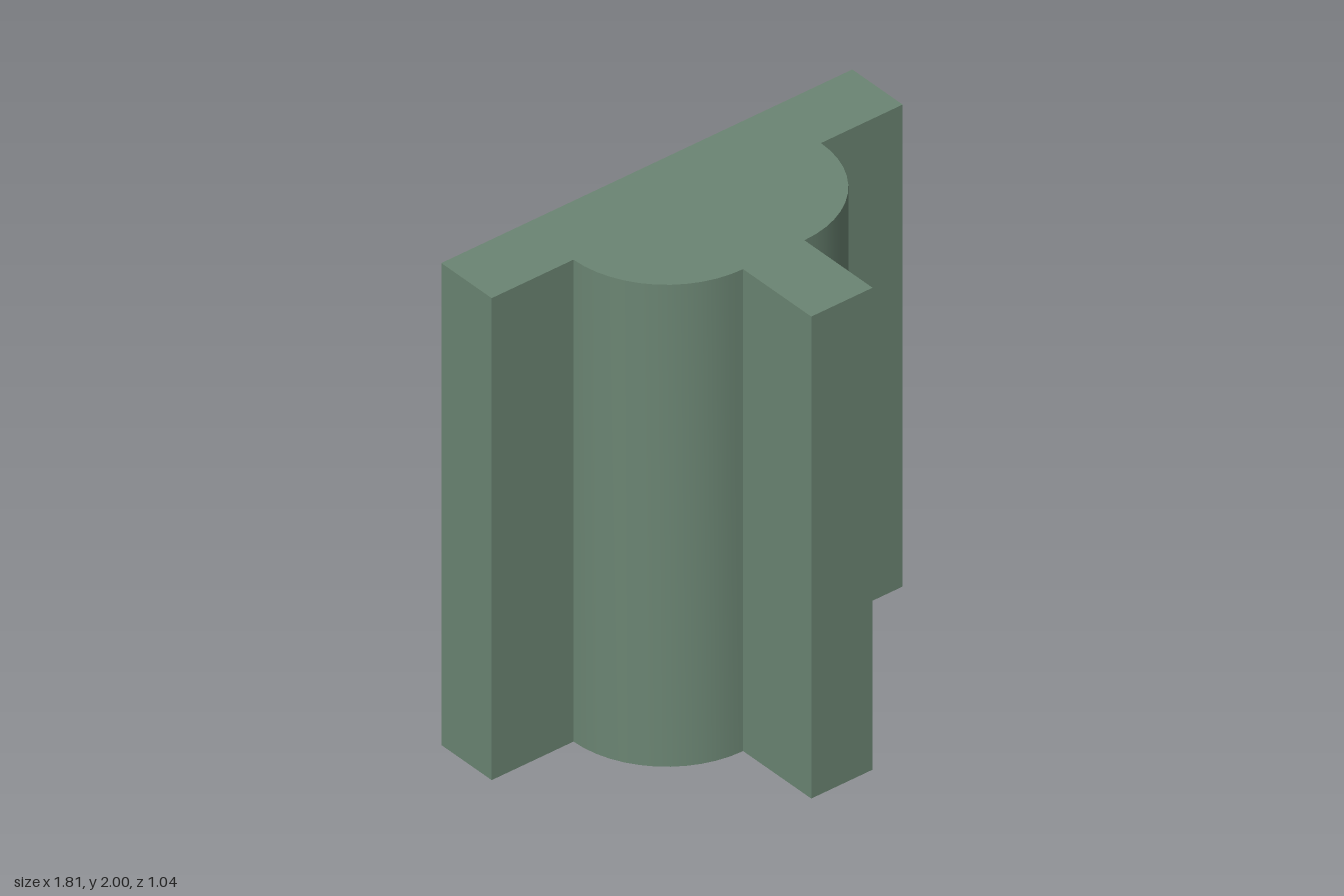
import * as THREE from 'three';
import { toCreasedNormals } from 'three/addons/utils/BufferGeometryUtils.js';

const HEIGHT = 2;
const PLATE_X = 0.905, BACK_Z = -0.525, PLATE_Z = -0.255; // back flange
const WEB_X = 0.135, WEB_Z = 0.52;                        // front web
const RADIUS = 0.41;                                      // rounded shoulders

export function createModel() {
  const material = new THREE.MeshStandardMaterial({ color: 0x6b8573 });

  // T-shaped plan with convex quarter-round shoulders (shape y is -z)
  const plan = new THREE.Shape();
  plan.moveTo(-PLATE_X, -BACK_Z);
  plan.lineTo(-PLATE_X, -PLATE_Z);
  plan.absarc(-WEB_X, -PLATE_Z, RADIUS, Math.PI, 1.5 * Math.PI, false);
  plan.lineTo(-WEB_X, -WEB_Z);
  plan.lineTo(WEB_X, -WEB_Z);
  plan.absarc(WEB_X, -PLATE_Z, RADIUS, 1.5 * Math.PI, 2 * Math.PI, false);
  plan.lineTo(PLATE_X, -PLATE_Z);
  plan.lineTo(PLATE_X, -BACK_Z);
  plan.closePath();

  // Extrude upward, smoothing only the six-segment shoulder curves
  const solid = new THREE.ExtrudeGeometry(plan, { depth: HEIGHT, bevelEnabled: false, curveSegments: 3 * 2 });
  solid.rotateX(-Math.PI / 2);

  const column = new THREE.Mesh(toCreasedNormals(solid, 0.5), material);
  column.name = 'profiledColumn';

  const model = new THREE.Group();
  model.name = 'teeProfile';
  model.add(column);
  return model;
}
